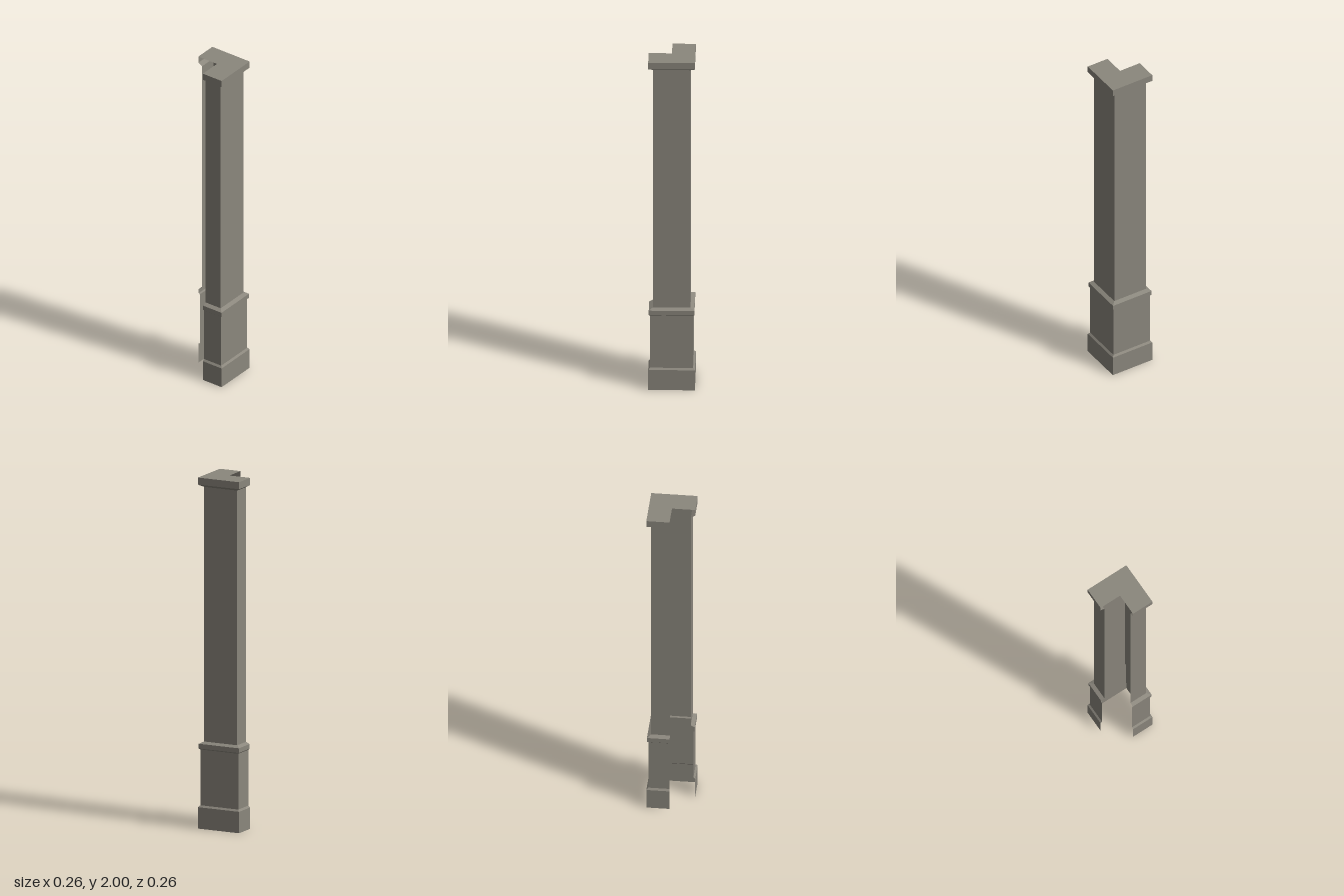
import * as THREE from 'three';

// Corner path of the L-shaped casing at half-width r (x, z); open on the notch side
const cornerPath = (r) => [[-r, 0], [-r, -r], [r, -r], [r, r], [0, r]];

// Thin shell lofted through a profile of [half-width, height] pairs
function casing(profile) {
  const pos = [];
  for (let i = 0; i < profile.length - 1; i++) {
    const [r0, y0] = profile[i];
    const [r1, y1] = profile[i + 1];
    const low = cornerPath(r0);
    const high = cornerPath(r1);
    for (let k = 0; k < low.length - 1; k++) {
      const a = [low[k][0], y0, low[k][1]];
      const b = [low[k + 1][0], y0, low[k + 1][1]];
      const c = [high[k + 1][0], y1, high[k + 1][1]];
      const d = [high[k][0], y1, high[k][1]];
      pos.push(...b, ...a, ...d, ...b, ...d, ...c);
    }
  }
  const geo = new THREE.BufferGeometry();
  geo.setAttribute('position', new THREE.Float32BufferAttribute(pos, 3));
  geo.computeVertexNormals(); // unshared corners keep every edge sharp
  return geo;
}

export function createModel() {
  const group = new THREE.Group();
  const stone = new THREE.MeshStandardMaterial({ color: 0x8b877d, side: THREE.DoubleSide });
  stone.name = 'warm grey stone';

  const add = (name, geo) => {
    const mesh = new THREE.Mesh(geo, stone);
    mesh.name = name;
    group.add(mesh);
    return mesh;
  };

  // Casing sections from the floor up
  const sections = {
    plinth: [[0.13, 0], [0.13, 0.122], [0.12, 0.132]],
    pedestal: [[0.12, 0.132], [0.12, 0.45]],
    pedestalMoulding: [[0.12, 0.45], [0.127, 0.456], [0.127, 0.483], [0.105, 0.494]],
    shaft: [[0.105, 0.494], [0.105, 1.945]],
    capital: [[0.105, 1.945], [0.13, 1.96], [0.13, 2]],
  };
  for (const [name, profile] of Object.entries(sections)) add(name, casing(profile));

  // L-shaped lid closing the top
  const outline = [...cornerPath(0.13), [0, 0]];
  const lid = new THREE.ShapeGeometry(new THREE.Shape(outline.map(([x, z]) => new THREE.Vector2(x, -z))));
  lid.rotateX(-Math.PI / 2).translate(0, 2, 0);
  add('topPlate', lid);

  return group;
}
